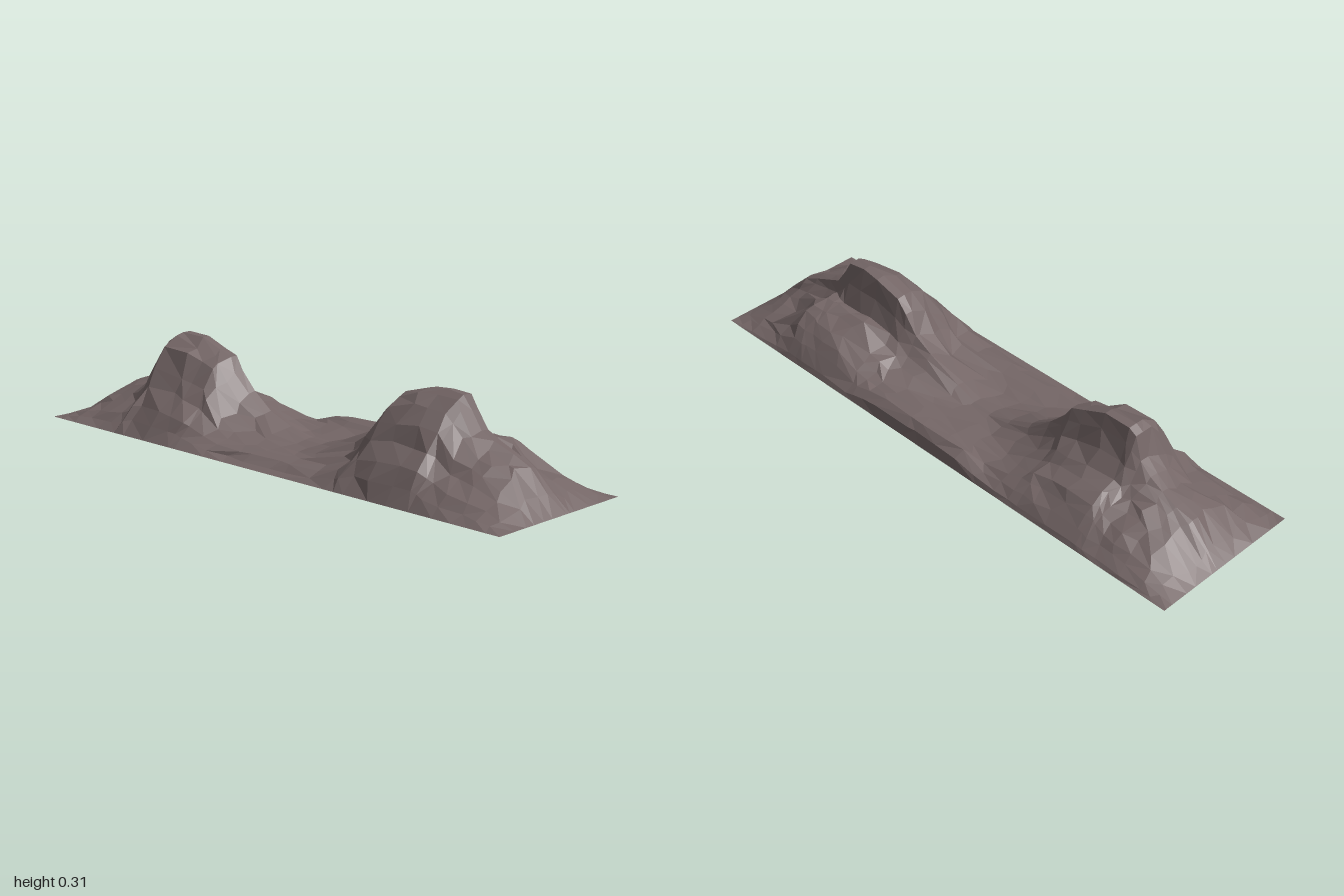
import * as THREE from 'three';

// Hill crest height along the length: [x, y]
const CREST = [
  [-1, 0], [-0.95, 0.045], [-0.88, 0.11], [-0.82, 0.13], [-0.76, 0.15], [-0.71, 0.175],
  [-0.67, 0.215], [-0.645, 0.295], [-0.62, 0.315], [-0.52, 0.312], [-0.44, 0.28],
  [-0.39, 0.262], [-0.36, 0.215], [-0.3, 0.155], [-0.22, 0.1], [-0.13, 0.062], [-0.04, 0.04],
  [0.04, 0.04], [0.12, 0.065], [0.25, 0.12], [0.32, 0.16], [0.36, 0.23], [0.4, 0.272], [0.5, 0.3],
  [0.57, 0.306], [0.635, 0.3], [0.66, 0.255], [0.7, 0.2], [0.75, 0.178], [0.82, 0.15],
  [0.88, 0.12], [0.95, 0.055], [1, 0],
];

// Cross-sections from front to back, as fractions of the crest height
const Z = [0.28, 0.245, 0.21, 0.16, 0.125, 0.08, 0.04, 0, -0.028, -0.042, -0.065, -0.1, -0.14, -0.18, -0.215, -0.245, -0.272, -0.28];
const END_A = [0, 0.14, 0.3, 0.48, 0.62, 0.78, 0.9, 0.97, 1, 0.95, 0.88, 0.8, 0.7, 0.55, 0.4, 0.25, 0.08, 0];
const END_B = [0, 0.15, 0.32, 0.52, 0.68, 0.84, 0.94, 1, 0.96, 0.86, 0.7, 0.6, 0.52, 0.42, 0.32, 0.2, 0.06, 0];
const HILL_A = [0, 0.14, 0.29, 0.47, 0.66, 0.86, 0.94, 1, 1, 0.84, 0.64, 0.5, 0.43, 0.36, 0.27, 0.16, 0.05, 0];
const HILL_B = [0, 0.18, 0.35, 0.51, 0.69, 0.87, 0.95, 1, 0.99, 0.74, 0.53, 0.43, 0.38, 0.32, 0.25, 0.16, 0.05, 0];
const FLANK = [0, 0.11, 0.24, 0.34, 0.44, 0.6, 0.78, 0.94, 1, 0.9, 0.74, 0.56, 0.48, 0.43, 0.38, 0.3, 0.14, 0];

// Plain heights: saddle floor with a lip in front and a ledge behind, and a rear spur
const SADDLE = [0, 0.007, 0.027, 0.029, 0.026, 0.025, 0.027, 0.034, 0.038, 0.038, 0.038, 0.038, 0.042, 0.05, 0.062, 0.07, 0.043, 0];
const SPUR = [0, 0, 0, 0, 0, 0, 0, 0, 0, 0.12, 0.16, 0.159, 0.154, 0.135, 0.104, 0.067, 0.02, 0];

// Which section applies where along x
const SHAPES = [
  [-1, END_A], [-0.76, END_A], [-0.64, HILL_A], [-0.4, HILL_A], [-0.24, FLANK],
  [0.24, FLANK], [0.38, HILL_B], [0.68, HILL_B], [0.84, END_B], [1, END_B],
];

// Finds the two keys around x and the blend between them
function bracket(keys, x) {
  let i = 0;
  while (i < keys.length - 2 && keys[i + 1][0] < x) i++;
  const [a, b] = [keys[i], keys[i + 1]];
  return [a[1], b[1], THREE.MathUtils.clamp((x - a[0]) / (b[0] - a[0]), 0, 1)];
}

// Small seeded noise in -1..1
function noise(i, j, k) {
  const s = Math.sin(i * 127.1 + j * 311.7 + k * 74.7) * 43758.5453;
  return (s - Math.floor(s)) * 2 - 1;
}

// Full height up to "inner" from the centre, none past "outer"
function fade(x, centre, inner, outer) {
  return 1 - THREE.MathUtils.smoothstep(Math.abs(x - centre), inner, outer);
}

// Hill, saddle and spur meet where the highest one wins
function height(x, j) {
  const [h0, h1, th] = bracket(CREST, x);
  const [s0, s1, ts] = bracket(SHAPES, x);
  const hill = THREE.MathUtils.lerp(h0, h1, th) * THREE.MathUtils.lerp(s0[j], s1[j], ts);
  const saddle = SADDLE[j] * fade(x, 0.08, 0.15, 0.42);
  const spur = SPUR[j] * fade(x, 0.6, 0.1, 0.25);
  return Math.max(hill, saddle, spur);
}

function terrainGeometry() {
  const cols = Z.length, rows = CREST.length;
  const positions = [], indices = [];
  for (let i = 0; i < rows; i++) {
    for (let j = 0; j < cols; j++) {
      const endRow = i === 0 || i === rows - 1;
      const edge = j === 0 || j === cols - 1;
      // Uneven facets: the crest and the outline stay put
      const crest = j >= 7 && j <= 9;
      const gapX = endRow ? 0 : Math.min(CREST[i][0] - CREST[i - 1][0], CREST[i + 1][0] - CREST[i][0]);
      const x = CREST[i][0] + (edge || crest ? 0 : noise(i, j, 1) * gapX * 0.35);
      const gapZ = edge ? 0 : Math.min(Z[j - 1] - Z[j], Z[j] - Z[j + 1]);
      const z = Z[j] + (endRow ? 0 : noise(i, j, 2) * gapZ * 0.3);
      let y = height(x, j);
      // Weathered strata, stretched along the length
      if (!edge && !endRow && !crest) {
        y *= 1 + noise(Math.floor(i / 3), j, 3) * 0.03 + noise(i, j, 4) * 0.03;
      }
      positions.push(x, y, z);
    }
  }
  for (let i = 0; i < rows - 1; i++) {
    for (let j = 0; j < cols - 1; j++) {
      const a = i * cols + j, b = a + cols, c = b + 1, d = a + 1;
      if (noise(i, j, 6) > 0) indices.push(a, b, c, a, c, d);
      else indices.push(a, b, d, b, c, d);
    }
  }
  const geometry = new THREE.BufferGeometry();
  geometry.setAttribute('position', new THREE.Float32BufferAttribute(positions, 3));
  geometry.setIndex(indices);
  const faceted = geometry.toNonIndexed();
  faceted.computeVertexNormals();
  return faceted;
}

export function createModel() {
  const group = new THREE.Group();
  group.name = 'rockyRidge';
  // Open rock shell with two hills and a low saddle
  const rock = new THREE.MeshStandardMaterial({ color: 0x746666, flatShading: true, side: THREE.DoubleSide });
  const terrain = new THREE.Mesh(terrainGeometry(), rock);
  terrain.name = 'twinHillTerrain';
  group.add(terrain);
  return group;
}
